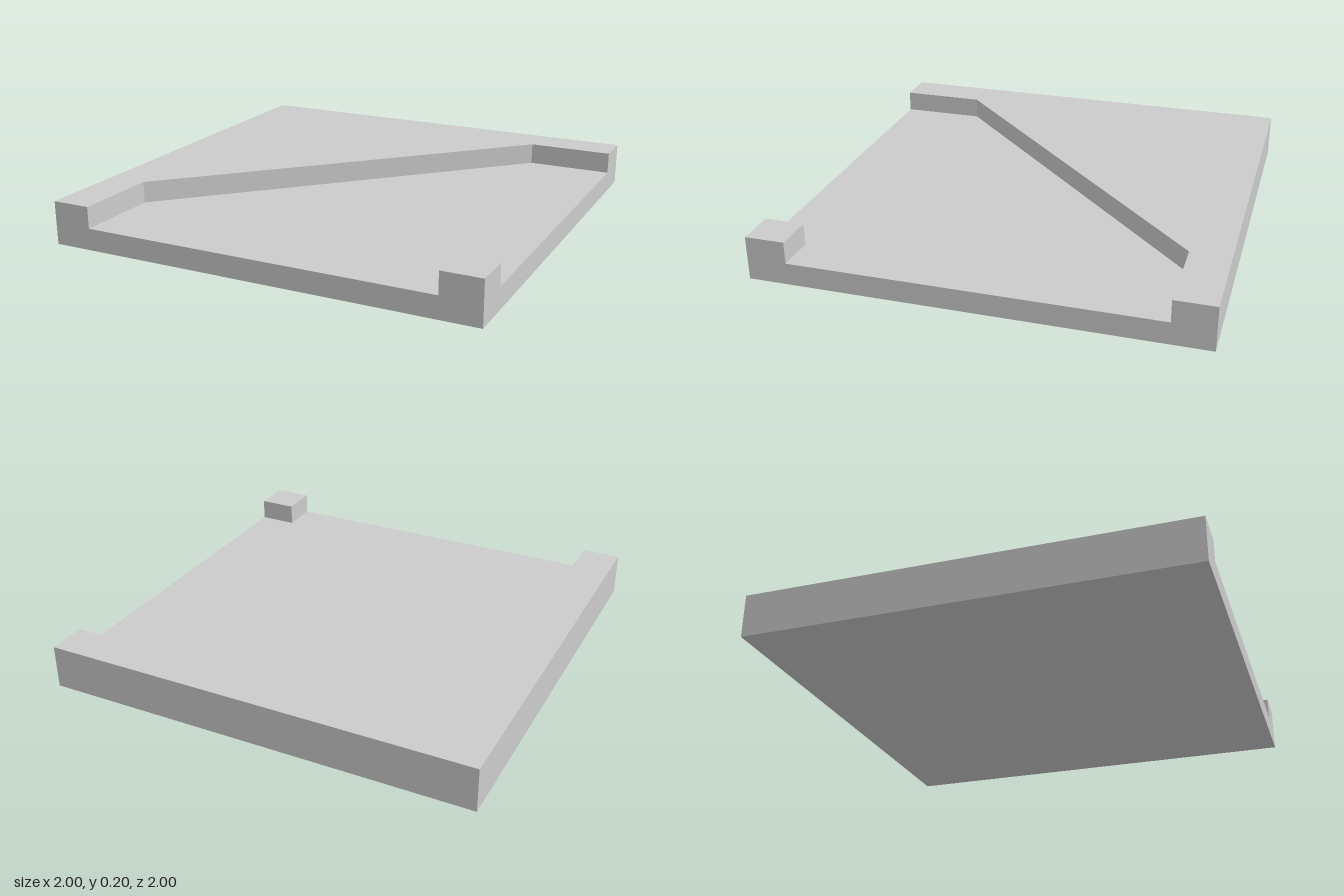
import * as THREE from 'three';

const material = new THREE.MeshStandardMaterial({ color: 0xcccccc, flatShading: true });

// Upright prism standing on y = 0 from an outline of [x, z] points
function prism(name, outline, height) {
  const shape = new THREE.Shape(outline.map(([x, z]) => new THREE.Vector2(x, -z)));
  const geometry = new THREE.ExtrudeGeometry(shape, { depth: height, bevelEnabled: false });
  geometry.rotateX(-Math.PI / 2);
  const mesh = new THREE.Mesh(geometry, material);
  mesh.name = name;
  return mesh;
}

export function createModel() {
  const group = new THREE.Group();
  group.name = 'cornerTile';

  const full = 0.2, low = 0.1; // heights of the raised parts and the sunken floor
  const e = 0.82, c = 0.6;     // rim inset and start of the diagonal

  // Inner edge of the raised corner, shared with the floor
  const step = [[-e, 1], [-e, c], [c, -e], [1, -e]];

  group.add(
    // Raised back corner with its diagonal step
    prism('raisedCorner', [...step, [1, -1], [-1, -1], [-1, 1]], full),
    // Sunken floor
    prism('sunkenFloor', [...step, [1, e], [e, e], [e, 1]], low),
    // Small square post at the front corner
    prism('cornerPost', [[e, e], [1, e], [1, 1], [e, 1]], full),
  );
  return group;
}
